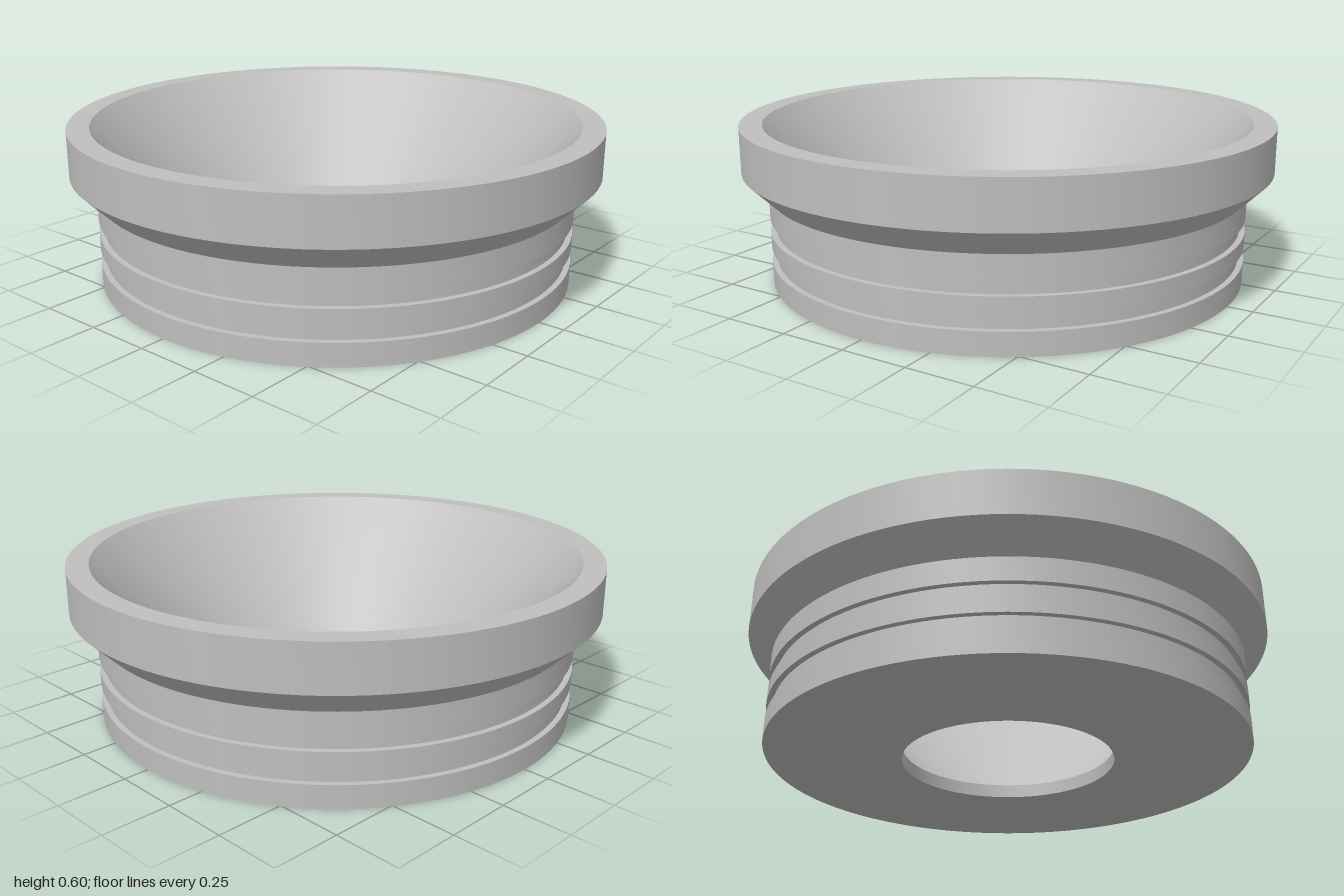
import * as THREE from 'three';
import { toCreasedNormals } from 'three/addons/utils/BufferGeometryUtils.js';

const HOLE = 0.4, BODY = 0.907, GROOVE = 0.886, RIM = 1, MOUTH = 0.917;

export function createModel() {
  const group = new THREE.Group();
  group.name = 'funnelRing';
  const grey = new THREE.MeshStandardMaterial({ color: 0xbfbfbf });
  grey.name = 'plain grey';

  // closed cross-section: underside, grooved wall, flared rim, funnel, bore
  const profile = [[HOLE, 0], [BODY, 0]];
  for (const [low, high] of [[0.085, 0.14], [0.2, 0.25]]) {
    profile.push([BODY, low], [GROOVE, low], [GROOVE, high], [BODY, high]);
  }
  profile.push(
    [BODY, 0.337], [RIM, 0.43], [RIM, 0.6],
    [MOUTH, 0.6], [HOLE, 0.052], [HOLE, 0]
  );

  // smooth around the axis, crisp at every profile corner
  const lathe = new THREE.LatheGeometry(profile.map(([r, y]) => new THREE.Vector2(r, y)), 128);
  const body = new THREE.Mesh(toCreasedNormals(lathe, 0.4), grey);
  body.name = 'funnelBody';
  group.add(body);
  return group;
}
